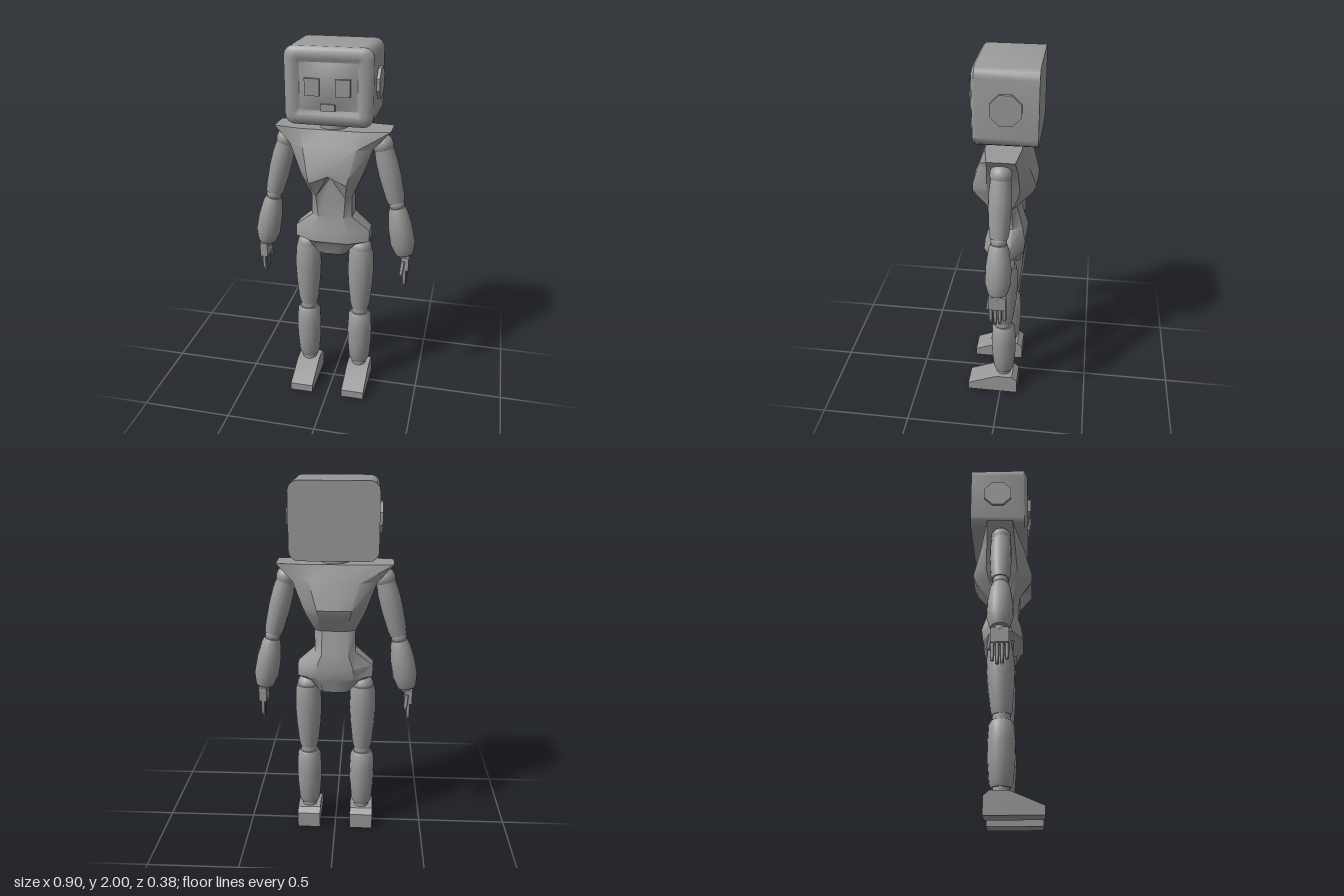
import * as THREE from 'three';
import { toCreasedNormals } from 'three/addons/utils/BufferGeometryUtils.js';

const grey = new THREE.MeshStandardMaterial({ color: 0x999999 });
grey.name = 'grey';
const V = (x, y, z) => new THREE.Vector3(x, y, z);

export function createModel() {
  const root = new THREE.Group();
  root.name = 'robot';

  const add = (name, geo, pos = [0, 0, 0], parent = root) => {
    const m = new THREE.Mesh(geo, grey);
    m.name = name;
    m.position.set(...pos);
    parent.add(m);
    return m;
  };

  // Skin closed rings (counter-clockwise seen from the end of the path) and cap both ends
  const loft = (rings, crease) => {
    const n = rings[0].length, pos = [], idx = [];
    rings.forEach(r => r.forEach(p => pos.push(...p)));
    for (let i = 0; i < rings.length - 1; i++)
      for (let j = 0; j < n; j++) {
        const a = i * n + j, b = i * n + (j + 1) % n, c = b + n, d = a + n;
        idx.push(a, b, c, a, c, d);
      }
    [0, rings.length - 1].forEach((i, end) => {
      const c = pos.length / 3;
      pos.push(...[0, 1, 2].map(k => rings[i].reduce((s, p) => s + p[k], 0) / n));
      for (let j = 0; j < n; j++) {
        const a = i * n + j, b = i * n + (j + 1) % n;
        end ? idx.push(c, a, b) : idx.push(c, b, a);
      }
    });
    const g = new THREE.BufferGeometry();
    g.setAttribute('position', new THREE.Float32BufferAttribute(pos, 3));
    g.setIndex(idx);
    return toCreasedNormals(g, crease);
  };

  // Turned limb from point a down to point b; profile is [radius, fraction]
  const limb = (name, a, b, profile, parent, sides = 16) => {
    const len = a.distanceTo(b);
    const pts = profile.map(([r, t]) => new THREE.Vector2(r, (1 - t) * len)).reverse();
    const m = add(name, toCreasedNormals(new THREE.LatheGeometry(pts, sides), 0.8), b.toArray(), parent);
    m.quaternion.setFromUnitVectors(V(0, 1, 0), a.clone().sub(b).normalize());
    return m;
  };

  // Head: rounded box with a raised front frame
  const headRing = (z, inset) => {
    const out = [], w = 0.225 - inset, h = 0.195 - inset, r = Math.max(0.05 - inset * 0.6, 0.006);
    for (let q = 0; q < 4; q++)
      for (let k = 0; k <= 4; k++) {
        const t = (q + k / 4) * Math.PI / 2;
        const sx = q === 0 || q === 3 ? 1 : -1, sy = q < 2 ? 1 : -1;
        out.push([sx * (w - r) + r * Math.cos(t), 1.805 + sy * (h - r) + r * Math.sin(t), z]);
      }
    return out;
  };
  add('head', loft([headRing(-0.19, 0), headRing(0.115, 0), headRing(0.128, 0.012),
    headRing(0.136, 0.035), headRing(0.136, 0.06), headRing(0.124, 0.075)], 0.75));

  // Bulging face screen
  const screen = new THREE.PlaneGeometry(0.294, 0.236, 10, 10);
  const sp = screen.attributes.position;
  for (let i = 0; i < sp.count; i++) {
    const u = sp.getX(i) / 0.147, v = sp.getY(i) / 0.118;
    sp.setZ(i, 0.02 * (1 - u * u) * (1 - v * v));
  }
  screen.computeVertexNormals();
  add('faceScreen', screen, [0, 1.807, 0.126]);
  for (const s of [1, -1]) {
    add('eye', new THREE.BoxGeometry(0.075, 0.085, 0.03), [s * 0.077, 1.808, 0.14]);
    const ear = add('earDisc', toCreasedNormals(
      new THREE.CylinderGeometry(0.082, 0.082, 0.03, 8).rotateY(Math.PI / 8), 0.5), [s * 0.226, 1.808, -0.035]);
    ear.rotation.z = Math.PI / 2;
  }
  add('mouth', new THREE.BoxGeometry(0.075, 0.035, 0.02), [0, 1.708, 0.137]);
  add('neck', new THREE.CylinderGeometry(0.075, 0.075, 0.07, 20), [0, 1.59, -0.01]);

  // Torso: [y, half width, side front z, side back z, front half width, front z, back half width, back z, centre lift]
  const torso = [
    [0.865, 0.075, 0.045, -0.075, 0.05, 0.065, 0.06, -0.095, 0],
    [0.93, 0.13, 0.05, -0.08, 0.07, 0.085, 0.08, -0.112, 0],
    [0.95, 0.205, 0.04, -0.06, 0.10, 0.1, 0.10, -0.118, 0],
    [1.01, 0.205, 0.03, -0.05, 0.10, 0.093, 0.10, -0.125, 0],
    [1.09, 0.11, 0.045, -0.06, 0.07, 0.073, 0.07, -0.105, 0],
    [1.21, 0.11, 0.05, -0.05, 0.08, 0.083, 0.07, -0.077, 0.11],
    [1.305, 0.153, 0.07, -0.09, 0.10, 0.154, 0.08, -0.16, 0.045],
    [1.35, 0.17, 0.07, -0.1, 0.11, 0.152, 0.09, -0.178, 0.03],
    [1.485, 0.22, 0.06, -0.095, 0.14, 0.112, 0.13, -0.137, 0],
    [1.575, 0.305, 0.05, -0.09, 0.16, 0.077, 0.16, -0.105, 0],
  ];
  add('torso', loft(torso.map(([y, w, sf, sb, fw, f, bw, b, lift]) => [
    [0, y + lift, f], [fw, y, f], [w, y, sf], [w, y, sb], [bw, y, b],
    [0, y, b], [-bw, y, b], [-w, y, sb], [-w, y, sf], [-fw, y, f]]), 0.6));

  // Foot side outline as (z, y)
  const sole = new THREE.Shape([[-0.1, 0], [0.193, 0], [0.193, 0.045], [0.04, 0.11], [0.01, 0.117],
    [-0.07, 0.117], [-0.1, 0.09]].map(p => new THREE.Vector2(...p)));

  for (const s of [1, -1]) {
    // Arm
    const arm = new THREE.Group();
    arm.name = s > 0 ? 'leftArm' : 'rightArm';
    root.add(arm);
    const shoulder = V(s * 0.258, 1.49, -0.015), elbow = V(s * 0.342, 1.165, -0.015), wrist = V(s * 0.397, 0.865, -0.015);
    add('shoulderJoint', new THREE.SphereGeometry(0.056, 16, 12), shoulder.toArray(), arm);
    limb('upperArm', shoulder, elbow,
      [[0, 0.03], [0.05, 0.04], [0.058, 0.25], [0.059, 0.5], [0.052, 0.85], [0.046, 0.96], [0, 0.97]], arm);
    add('elbowJoint', new THREE.SphereGeometry(0.042, 16, 12), elbow.toArray(), arm);
    limb('forearm', elbow, wrist,
      [[0, 0.05], [0.042, 0.06], [0.054, 0.16], [0.066, 0.45], [0.068, 0.75], [0.054, 0.92], [0.048, 0.97], [0, 0.98]], arm);
    add('wristJoint', new THREE.SphereGeometry(0.032, 12, 8), wrist.toArray(), arm);

    // Hand
    const hx = s * 0.404;
    add('palm', new THREE.BoxGeometry(0.042, 0.08, 0.09), [hx, 0.827, -0.015], arm);
    [0.69, 0.673, 0.676, 0.7].forEach((tip, i) => {
      const z = -0.015 + s * (0.036 - i * 0.024);
      limb('finger', V(hx, 0.795, z), V(hx, tip, z),
        [[0, 0], [0.011, 0.01], [0.011, 0.5], [0.009, 0.93], [0, 1]], arm, 8);
    });
    limb('thumb', V(hx - s * 0.01, 0.845, -0.015 + s * 0.042), V(hx - s * 0.018, 0.755, -0.015 + s * 0.058),
      [[0, 0], [0.012, 0.02], [0.011, 0.6], [0.009, 0.93], [0, 1]], arm, 8);

    // Leg
    const leg = new THREE.Group();
    leg.name = s > 0 ? 'leftLeg' : 'rightLeg';
    root.add(leg);
    const x = s * 0.152;
    add('hipJoint', new THREE.SphereGeometry(0.06, 16, 12), [x, 0.885, -0.018], leg);
    limb('thigh', V(x, 0.89, -0.022), V(x, 0.505, -0.014),
      [[0, 0], [0.062, 0.01], [0.07, 0.1], [0.074, 0.35], [0.069, 0.6], [0.057, 0.92], [0.05, 1], [0, 1]], leg);
    add('kneeJoint', new THREE.CylinderGeometry(0.046, 0.046, 0.07, 16), [x, 0.49, -0.014], leg);
    limb('shin', V(x, 0.478, -0.014), V(x, 0.14, -0.016),
      [[0, 0], [0.053, 0.01], [0.066, 0.08], [0.071, 0.35], [0.069, 0.6], [0.06, 0.93], [0.05, 1], [0, 1]], leg);
    add('ankleJoint', new THREE.CylinderGeometry(0.042, 0.042, 0.06, 16), [x, 0.125, -0.016], leg);
    const foot = new THREE.ExtrudeGeometry(sole, { depth: 0.13, bevelEnabled: false });
    foot.translate(0, 0, -0.065).rotateY(-Math.PI / 2);
    add('foot', toCreasedNormals(foot, 0.5), [x, 0, 0], leg);
  }
  return root;
}
